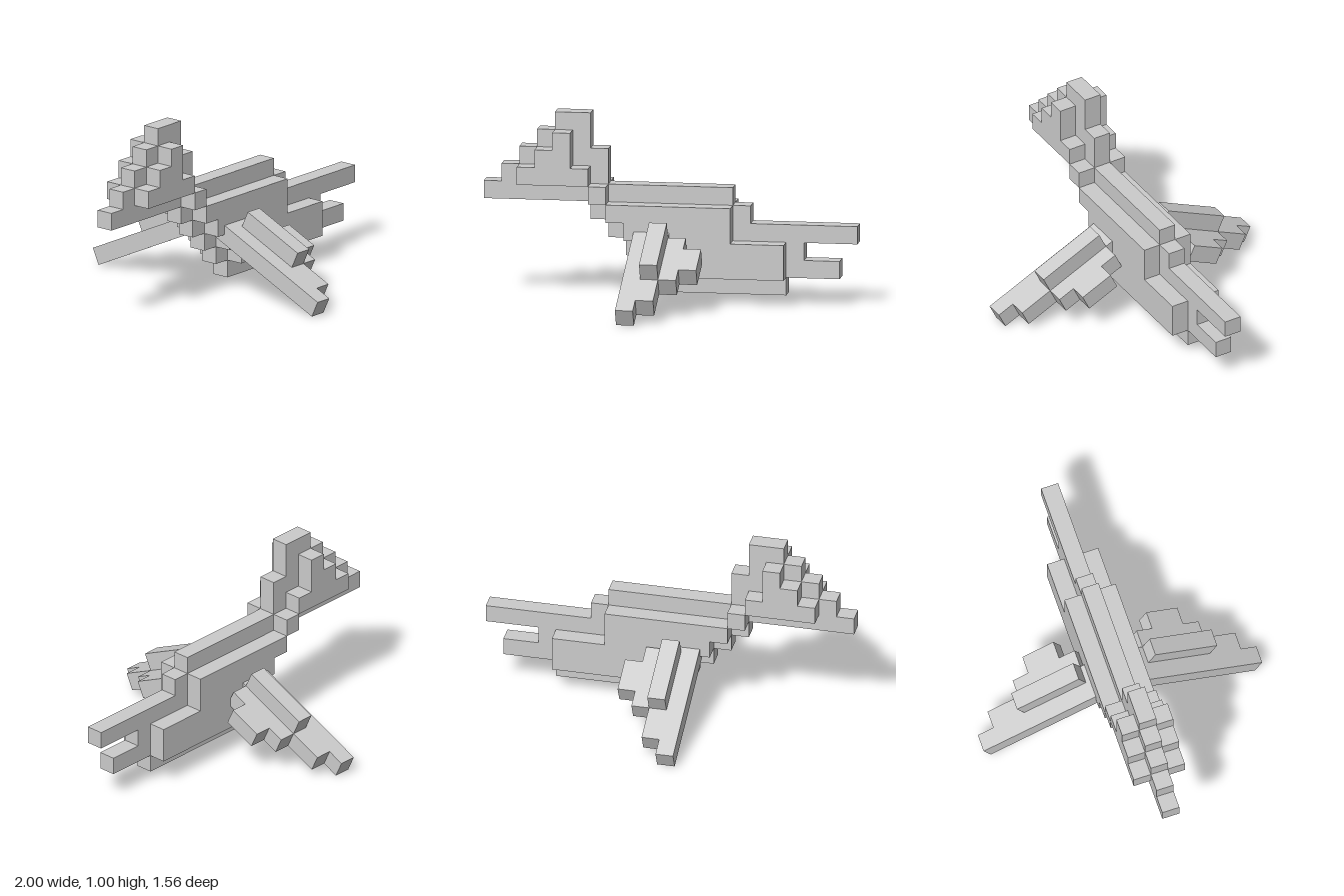
import * as THREE from 'three';

const U = 2 / 21; // edge of one block
const material = new THREE.MeshStandardMaterial({ color: 0xcccccc, flatShading: true });

// One-block-thick slab from stacked rows [start, end], counted in blocks.
function steppedSlab(name, rows, firstRow = 0) {
  const right = [], left = [];
  rows.forEach(([a, b], i) => {
    const y0 = (firstRow + i) * U, y1 = y0 + U;
    right.push(new THREE.Vector2(b * U, y0), new THREE.Vector2(b * U, y1));
    left.push(new THREE.Vector2(a * U, y0), new THREE.Vector2(a * U, y1));
  });
  const shape = new THREE.Shape([...right, ...left.reverse()]);
  const geometry = new THREE.ExtrudeGeometry(shape, { depth: U, bevelEnabled: false });
  const mesh = new THREE.Mesh(geometry, material);
  mesh.name = name;
  return mesh;
}

// Drooping wing; rows run across x, lengths are counted inward from the tip.
function makeWing(name, side) {
  const wing = new THREE.Group();
  wing.name = name;
  const panel = steppedSlab('wingPanel', [[0, 8], [1, 8], [3, 7], [4, 6]]);
  const ridge = steppedSlab('wingRidge', [[3, 7]], 1);
  panel.position.z = side > 0 ? 0 : -U;
  ridge.position.z = side > 0 ? -U : 0;
  wing.add(panel, ridge);

  const droop = THREE.MathUtils.degToRad(25);
  const c = Math.cos(droop), s = Math.sin(droop);
  const inward = new THREE.Vector3(0, s, -side * c);
  const across = new THREE.Vector3(1, 0, 0);
  const normal = new THREE.Vector3().crossVectors(inward, across);
  wing.quaternion.setFromRotationMatrix(new THREE.Matrix4().makeBasis(inward, across, normal));
  wing.position.set(-0.184, 0.086, side * 0.778);
  return wing;
}

export function createModel() {
  const model = new THREE.Group();
  model.name = 'blockBird';

  // Body, tail and beak blocks share one coordinate grid
  const body = new THREE.Group();
  body.name = 'body';
  body.position.set(-1, 0.05, -0.0085 - U / 2);
  model.add(body);

  // Middle layer: belly, open beak, back and tall tail fan
  body.add(steppedSlab('coreLayer', [
    [10, 17], [9, 20], [8, 18], [7, 21], [6, 15],
    [0, 14], [1, 7], [2, 7], [3, 6], [4, 6],
  ]));

  // Outer layers on both sides
  for (const side of [1, -1]) {
    const parts = [
      steppedSlab('flank', [[10, 17], [9, 17], [8, 14], [7, 14]], 1),
      steppedSlab('rumpBlock', [[6, 7]], 5),
      steppedSlab('tailSide', [[2, 6], [3, 5], [4, 5]], 6),
    ];
    for (const part of parts) {
      part.position.z = side * U;
      body.add(part);
    }
  }

  model.add(makeWing('leftWing', 1), makeWing('rightWing', -1));
  return model;
}
